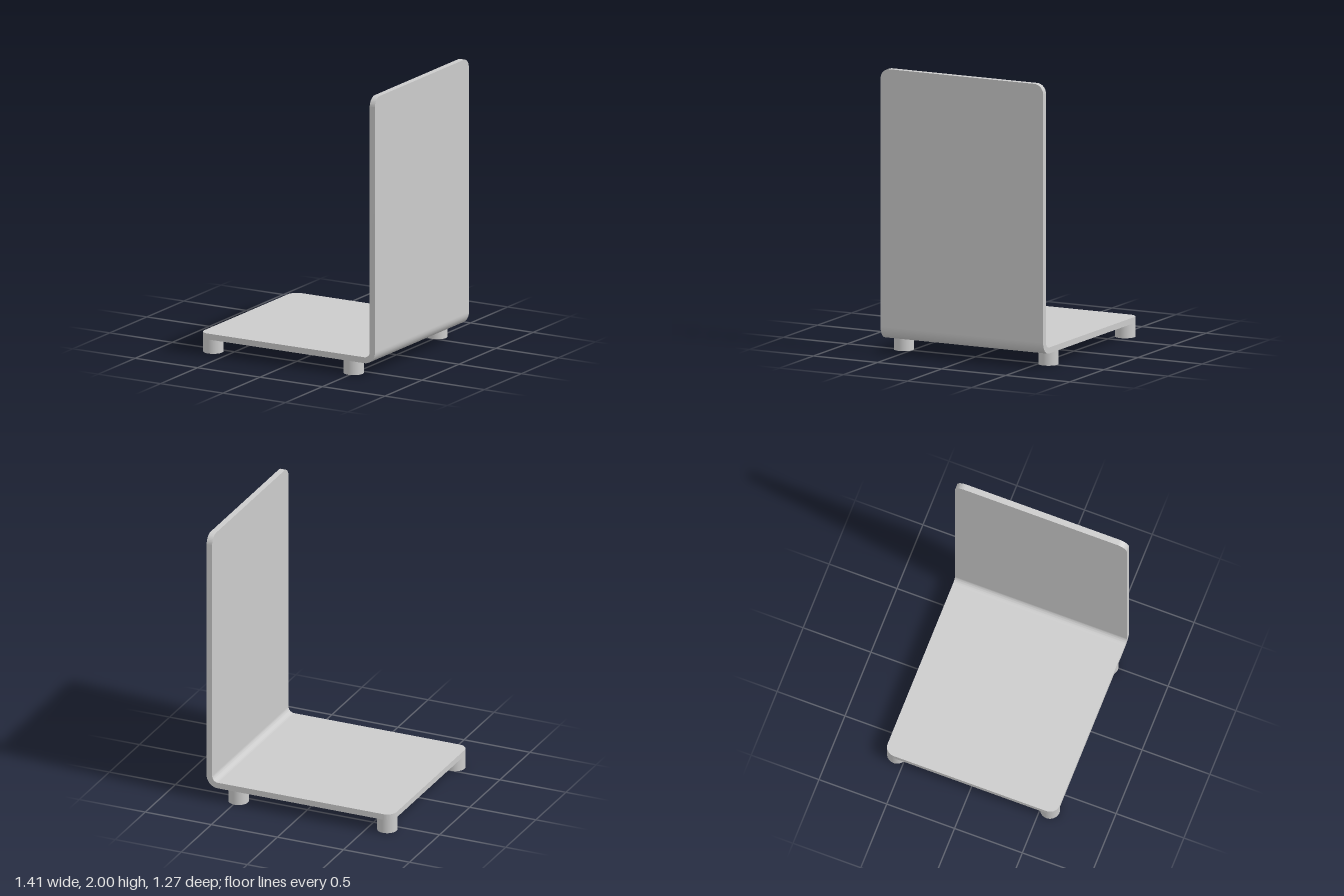
import * as THREE from 'three';
import { toCreasedNormals } from 'three/addons/utils/BufferGeometryUtils.js';

const T = 0.042;          // sheet thickness
const W = 0.634;          // half width along z
const X = 0.703;          // half length along x
const FOOT_H = 0.1;
const FOOT_R = 0.07;
const CORNER = 0.07;      // rounded free corners
const BEND = 0.085;       // outer bend radius

const material = new THREE.MeshStandardMaterial({ color: 0xcccccc });

function extrude(shape, depth) {
  const geometry = new THREE.ExtrudeGeometry(shape, { depth, bevelEnabled: false, curveSegments: 16 });
  return toCreasedNormals(geometry, 0.5);
}

// Flat sheet running from u = 0 to u = length, rounded at the far end
function plate(name, length, uAxis, normal, origin) {
  const s = new THREE.Shape();
  s.moveTo(0, -W);
  s.lineTo(length - CORNER, -W);
  s.absarc(length - CORNER, -W + CORNER, CORNER, -Math.PI / 2, 0);
  s.absarc(length - CORNER, W - CORNER, CORNER, 0, Math.PI / 2);
  s.lineTo(0, W);
  const geometry = extrude(s, T);
  const matrix = new THREE.Matrix4().makeBasis(uAxis, new THREE.Vector3(0, 0, 1), normal);
  geometry.applyMatrix4(matrix.setPosition(origin));
  const mesh = new THREE.Mesh(geometry, material);
  mesh.name = name;
  return mesh;
}

export function createModel() {
  const group = new THREE.Group();
  group.name = 'lShapedStand';
  const cx = X - BEND;
  const cy = FOOT_H + BEND;
  const right = new THREE.Vector3(1, 0, 0);
  const up = new THREE.Vector3(0, 1, 0);

  // Horizontal base and upright wall
  group.add(plate('basePlate', cx + X, right.clone().negate(), up, new THREE.Vector3(cx, FOOT_H, 0)));
  group.add(plate('uprightPlate', 2 - cy, up, right, new THREE.Vector3(X - T, cy, 0)));

  // Quarter-round bend joining them
  const s = new THREE.Shape();
  s.absarc(cx, cy, BEND, -Math.PI / 2, 0, false);
  s.absarc(cx, cy, BEND - T, 0, -Math.PI / 2, true);
  const bend = new THREE.Mesh(extrude(s, 2 * W), material);
  bend.name = 'bend';
  bend.position.z = -W;
  group.add(bend);

  // Four round feet
  const footGeometry = new THREE.CylinderGeometry(FOOT_R, FOOT_R, FOOT_H, 48);
  for (const x of [-X + FOOT_R, 0.492]) {
    for (const side of [-1, 1]) {
      const foot = new THREE.Mesh(footGeometry, material);
      foot.name = 'foot';
      foot.position.set(x, FOOT_H / 2, side * (W - FOOT_R));
      group.add(foot);
    }
  }
  return group;
}
